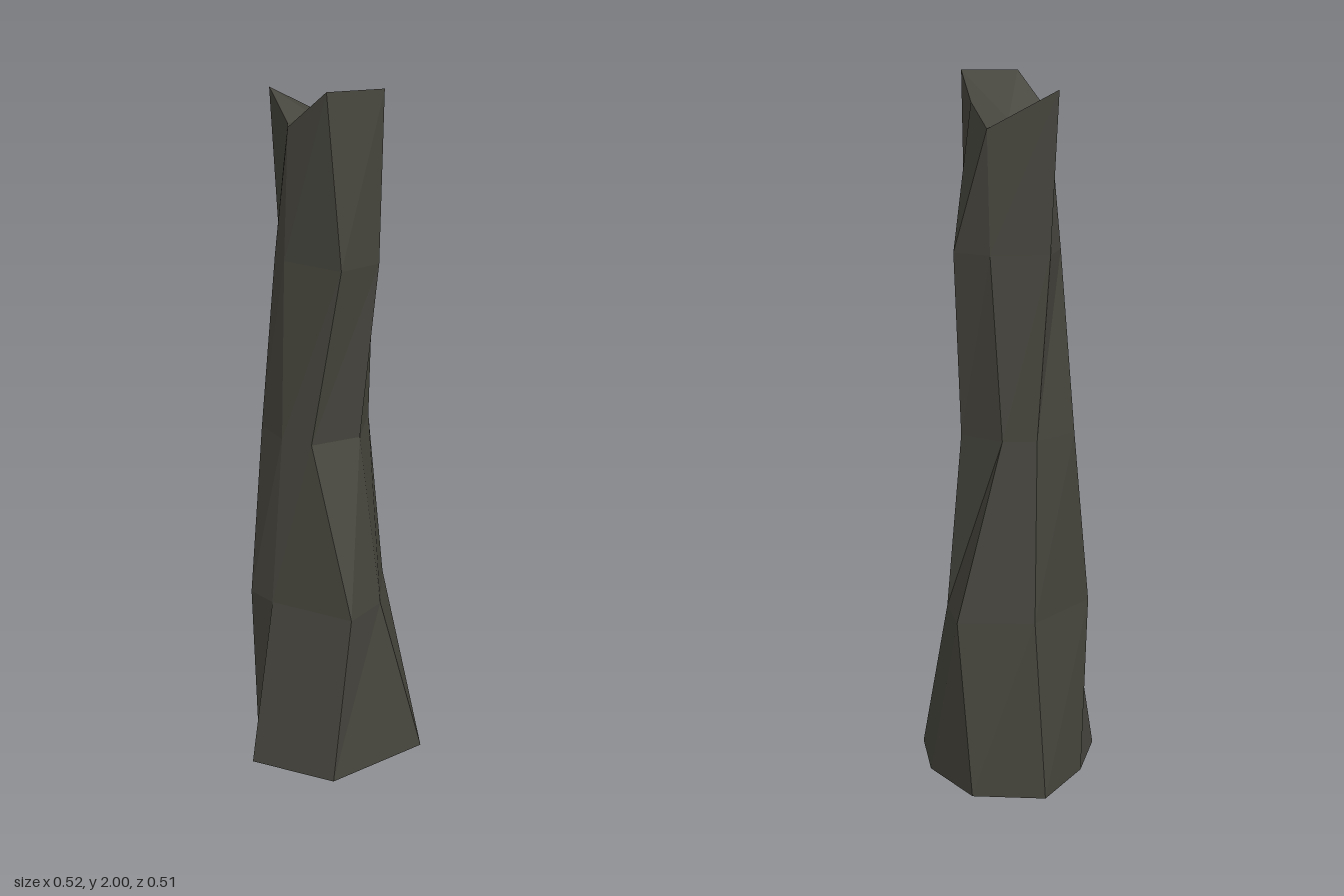
import * as THREE from 'three';

// Cross-sections from ground to broken tip: seven [x, y, z] corners each
const level = (y, pts) => pts.map(([x, z]) => [x, y, z]);
const rings = [
  level(0, [[0.26, -0.13], [0.17, 0.18], [-0.08, 0.255], [-0.195, 0.1], [-0.265, -0.1], [-0.12, -0.248], [0.095, -0.23]]),
  level(0.51, [[0.17, -0.035], [0.17, 0.1], [-0.075, 0.16], [-0.165, 0.15], [-0.212, -0.095], [-0.07, -0.258], [0.06, -0.19]]),
  level(1.02, [[0.093, -0.03], [0.025, 0.1], [-0.065, 0.12], [-0.17, 0.085], [-0.178, -0.06], [-0.12, -0.135], [0.015, -0.17]]),
  level(1.53, [[0.13, -0.06], [0.095, 0.058], [-0.08, 0.085], [-0.13, 0.065], [-0.195, -0.03], [-0.1, -0.16], [0.005, -0.2]]),
  [[0.14, 2, -0.06], [0.05, 2, 0.065], [-0.08, 1.89, 0.065], [-0.11, 1.89, 0.03], [-0.22, 1.96, -0.025], [-0.095, 1.86, -0.165], [0.05, 1.92, -0.1]],
];

function flatMesh(name, triangles, material) {
  const geometry = new THREE.BufferGeometry();
  geometry.setAttribute('position', new THREE.Float32BufferAttribute(triangles.flat(2), 3));
  geometry.computeVertexNormals();
  const mesh = new THREE.Mesh(geometry, material);
  mesh.name = name;
  return mesh;
}

// Closes a ring with a fan around a centre point
function fan(ring, centre, up) {
  return ring.map((p, i) => {
    const q = ring[(i + 1) % ring.length];
    return up ? [centre, q, p] : [centre, p, q];
  });
}

export function createModel() {
  const bark = new THREE.MeshStandardMaterial({ color: 0x45443c });
  bark.name = 'dark bark';
  bark.flatShading = true;

  // Twisting sides, all quads split along the same diagonal
  const sides = [];
  for (let k = 0; k < rings.length - 1; k++) {
    const low = rings[k], high = rings[k + 1];
    low.forEach((a, i) => {
      const j = (i + 1) % low.length;
      sides.push([a, high[i], low[j]], [low[j], high[i], high[j]]);
    });
  }

  const group = new THREE.Group();
  group.name = 'deadTrunk';
  group.add(
    flatMesh('trunk', sides, bark),
    flatMesh('brokenTop', fan(rings[4], [-0.07, 1.88, -0.07], true), bark),
    flatMesh('base', fan(rings[0], [0, 0, 0], false), bark),
  );
  return group;
}
